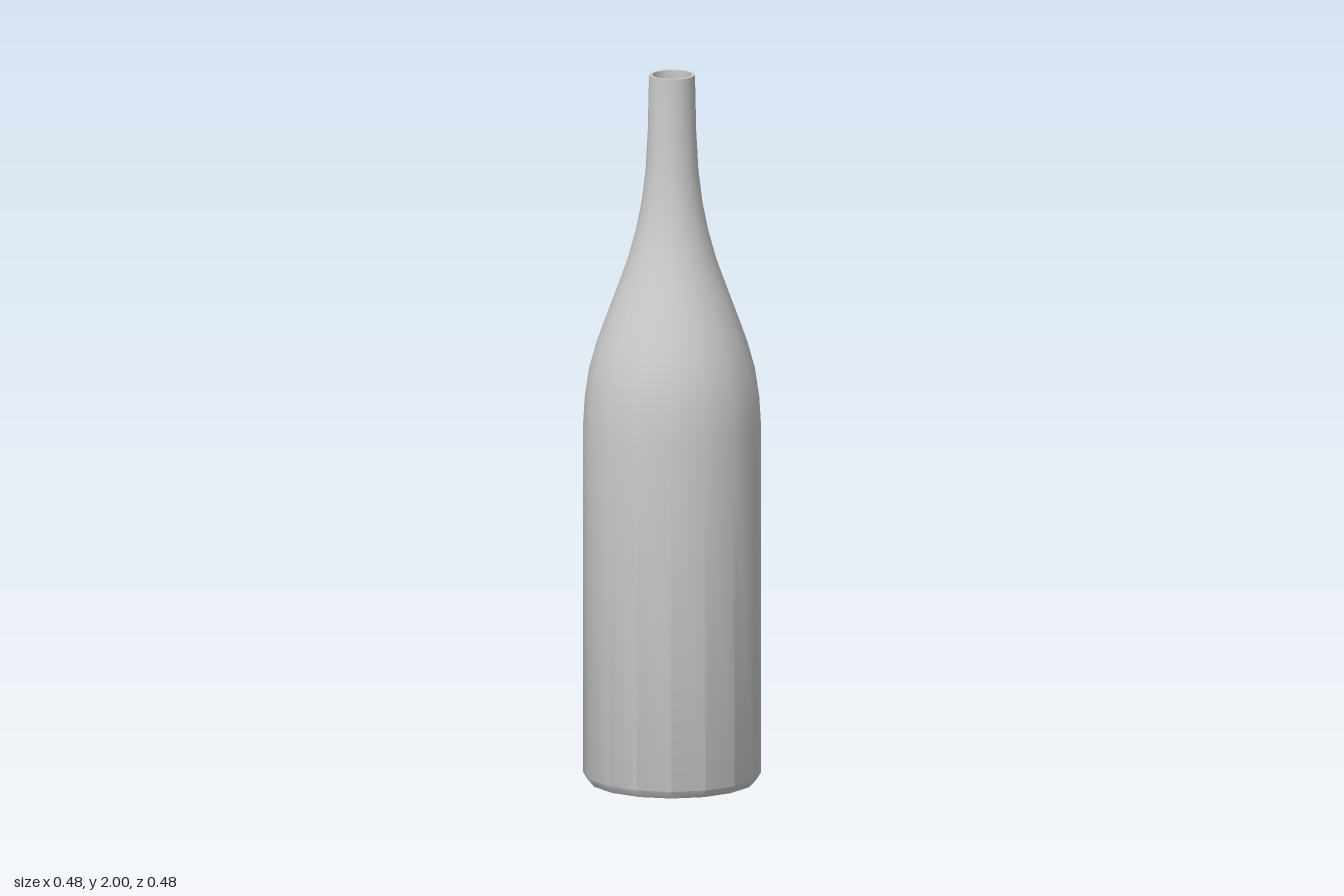
import * as THREE from 'three';
import { toCreasedNormals } from 'three/addons/utils/BufferGeometryUtils.js';

const SIDES = 16;
const WALL = 0.009;

export function createModel() {
  const group = new THREE.Group();
  group.name = 'bottle';
  const material = new THREE.MeshStandardMaterial({ color: 0xcccccc });

  // Outer silhouette from the base up to the lip, as [radius, height]
  const outer = [
    [0.232, 0], [0.2465, 0.022], [0.2465, 1.0], [0.241, 1.09], [0.229, 1.17],
    [0.208, 1.245], [0.181, 1.32], [0.151, 1.4], [0.122, 1.48], [0.1, 1.56],
    [0.084, 1.64], [0.073, 1.73], [0.067, 1.84], [0.0635, 2],
  ];

  // Inner wall runs back down from the lip to the floor
  const inner = outer.slice(1).reverse().map(([r, y]) => [r - WALL, y]);
  const profile = [[0, 0], ...outer, ...inner, [0, 0.022]]
    .map(([r, y]) => new THREE.Vector2(r, y));

  // Turned so that flat sides face the axes
  const lathe = new THREE.LatheGeometry(profile, SIDES, Math.PI / SIDES);
  const body = new THREE.Mesh(toCreasedNormals(lathe, 0.65), material);
  body.name = 'bottleBody';
  group.add(body);
  return group;
}
